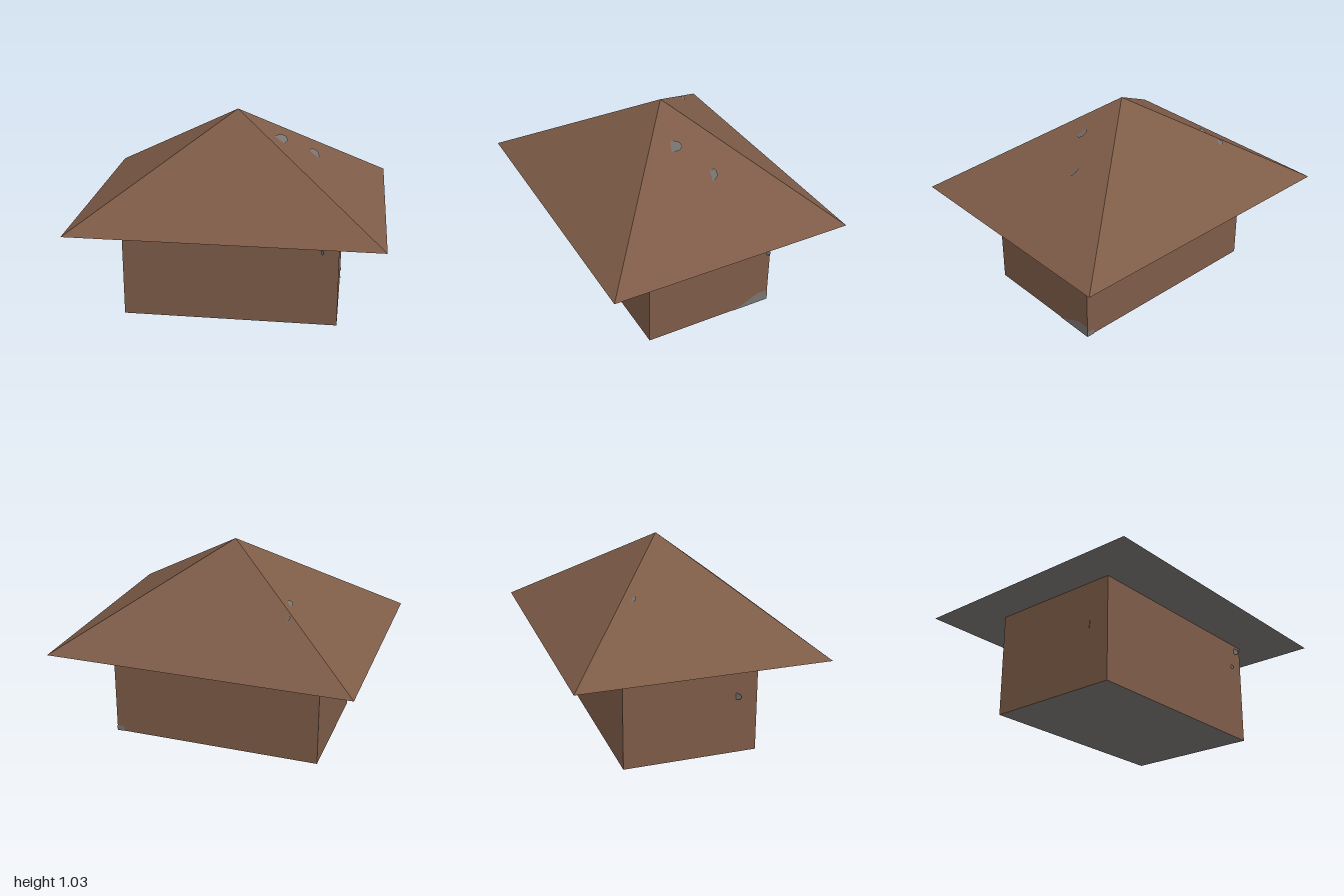
import * as THREE from 'three';

export function createModel() {
  const brown = new THREE.MeshStandardMaterial({ color: 0x7d5b47 });
  brown.name = 'brown wood';
  const grey = new THREE.MeshStandardMaterial({ color: 0x777371 });
  grey.name = 'worn grey';

  const model = new THREE.Group();
  model.name = 'hut';
  const hut = new THREE.Group();
  hut.name = 'turnedHut';
  hut.rotation.y = 0.534;
  model.add(hut);

  const add = (name, geometry, material) => {
    const mesh = new THREE.Mesh(geometry, material);
    mesh.name = name;
    hut.add(mesh);
    return mesh;
  };

  const HX = 0.555, HZ = 0.352;           // wall half sizes
  const RX = 0.78, RZ = 0.64;             // roof half sizes
  const EAVE = 0.535, APEX = 1.035, RISE = APEX - EAVE;

  // Walls, with a grey floor
  const walls = new THREE.BoxGeometry(2 * HX, EAVE, 2 * HZ).translate(0, EAVE / 2, 0);
  add('walls', walls, [brown, brown, brown, grey, brown, brown]);

  // Four-sided roof
  let roof = new THREE.ConeGeometry(Math.SQRT2, RISE, 4, 1, true).rotateY(Math.PI / 4);
  roof.scale(RX, 1, RZ).translate(0, EAVE + RISE / 2, 0);
  roof = roof.toNonIndexed();
  roof.computeVertexNormals();
  add('roof', roof, brown);

  // Flat grey underside of the eaves
  add('roofUnderside', new THREE.PlaneGeometry(2 * RX, 2 * RZ).rotateX(Math.PI / 2).translate(0, EAVE, 0), grey);

  // Thin worn spots, laid on a surface along its normal
  const spot = (name, position, normal, w, h, turn = 0) => {
    const n = new THREE.Vector3(...normal).normalize();
    const geometry = new THREE.CircleGeometry(1, 8).scale(w, h, 1).rotateZ(turn);
    const mesh = add(name, geometry, grey);
    mesh.position.set(...position).addScaledVector(n, 0.003);
    mesh.lookAt(mesh.position.clone().add(n));
  };
  const endY = (x) => APEX - RISE * Math.abs(x) / RX;
  const sideY = (z) => APEX - RISE * Math.abs(z) / RZ;
  const endSlope = [RISE, RX, 0];
  spot('roofSpot', [0.225, endY(0.225), 0.052], endSlope, 0.05, 0.033, 0.2);
  spot('roofSpot', [0.396, endY(0.396), -0.08], endSlope, 0.026, 0.036);
  spot('roofSpot', [-0.36, endY(0.36), -0.236], [-RISE, RX, 0], 0.016, 0.02);
  spot('roofSpot', [-0.38, sideY(0.341), -0.341], [0, RZ, -RISE], 0.018, 0.016);
  spot('wallSpot', [0.506, 0.5, HZ], [0, 0, 1], 0.022, 0.018);
  spot('wallSpot', [0.471, 0.4, HZ], [0, 0, 1], 0.01, 0.012);
  spot('wallSpot', [-HX, 0.31, 0.241], [-1, 0, 0], 0.026, 0.018);
  spot('wallSpot', [HX, 0.32, -0.335], [1, 0, 0], 0.016, 0.018);

  // Worn patch around the bottom corner
  const patch = new THREE.Shape([
    [0.137, 0], [0.352, 0], [0.352, 0.06], [0.3, 0.062], [0.25, 0.045], [0.2, 0.02],
  ].map(([x, y]) => new THREE.Vector2(x, y)));
  add('cornerPatch', new THREE.ShapeGeometry(patch).rotateY(Math.PI / 2).translate(HX + 0.003, 0, 0), grey);
  const wrap = new THREE.PlaneGeometry(0.04, 0.03).rotateY(Math.PI);
  add('cornerPatchBack', wrap.translate(HX - 0.02, 0.015, -HZ - 0.003), grey);

  return model;
}
